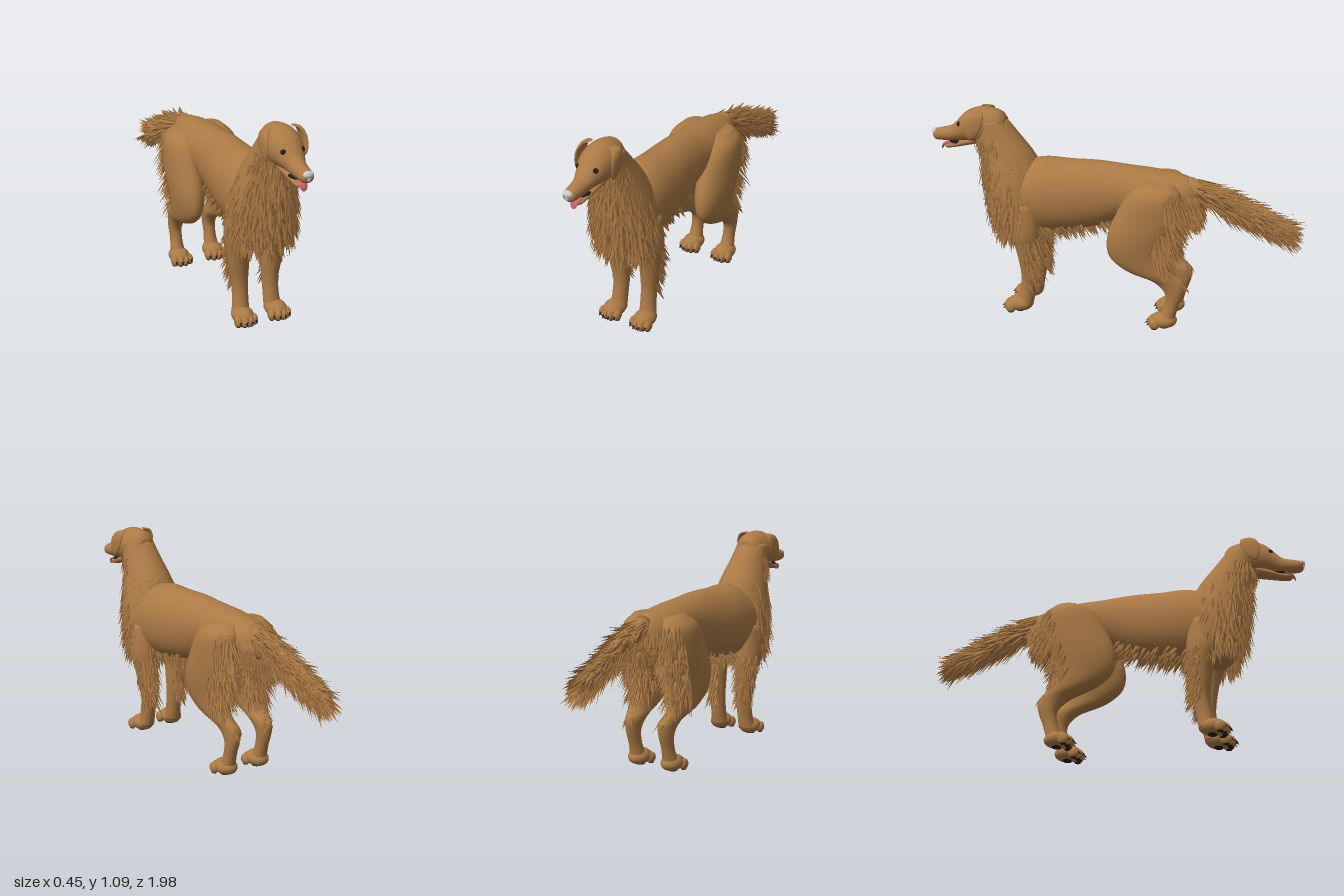
import * as THREE from 'three';
import { mergeGeometries } from 'three/addons/utils/BufferGeometryUtils.js';

const mat = (name, color, side = THREE.FrontSide) => {
  const m = new THREE.MeshStandardMaterial({ color, side });
  m.name = name;
  return m;
};

// Small seeded generator for the fur
let seed = 7;
const rand = (a = 0, b = 1) => {
  seed = (seed * 16807) % 2147483647;
  return a + (b - a) * seed / 2147483647;
};

// Smooth body through oval sections [x, y, z, halfWidth, halfDepth], sliced across 'y' or 'z'
function makeLoft(rows, axis) {
  const centre = new THREE.CatmullRomCurve3(rows.map(r => new THREE.Vector3(r[0], r[1], r[2])), false, 'catmullrom');
  const radius = new THREE.CatmullRomCurve3(rows.map(r => new THREE.Vector3(r[3], r[4], 0)), false, 'catmullrom');
  const k = axis === 'y' ? 1 : 2;
  const way = Math.sign(rows[rows.length - 1][k] - rows[0][k]);
  const v = axis === 'y' ? new THREE.Vector3(0, 0, -way) : new THREE.Vector3(0, way, 0);
  const at = (t, a) => {
    const c = centre.getPoint(t), r = radius.getPoint(t);
    const point = c.clone().addScaledVector(v, r.y * Math.sin(a));
    point.x += r.x * Math.cos(a);
    const normal = v.clone().multiplyScalar(Math.sin(a) / r.y);
    normal.x = Math.cos(a) / r.x;
    return { point, normal: normal.normalize(), centre: c };
  };
  const build = (sides = 28, steps = (rows.length - 1) * 5) => {
    const pos = [], idx = [];
    for (let i = 0; i <= steps; i++)
      for (let j = 0; j < sides; j++) pos.push(...at(i / steps, j / sides * Math.PI * 2).point);
    for (let i = 0; i < steps; i++)
      for (let j = 0; j < sides; j++) {
        const a = i * sides + j, b = i * sides + (j + 1) % sides;
        idx.push(a, b, b + sides, a, b + sides, a + sides);
      }
    const first = pos.length / 3, last = first + 1, end = steps * sides;
    pos.push(...centre.getPoint(0), ...centre.getPoint(1));
    for (let j = 0; j < sides; j++) {
      const n = (j + 1) % sides;
      idx.push(first, n, j, last, end + j, end + n);
    }
    const g = new THREE.BufferGeometry();
    g.setAttribute('position', new THREE.Float32BufferAttribute(pos, 3));
    g.setIndex(idx);
    g.computeVertexNormals();
    return g;
  };
  return { at, build };
}

// One flat, curved lock of hair, root at the origin and tip at y = 1
const lock = new THREE.ConeGeometry(1, 1, 4, 3, true).translate(0, 0.5, 0);
{
  const p = lock.attributes.position;
  for (let i = 0; i < p.count; i++) {
    const y = p.getY(i);
    p.setX(i, p.getX(i) * (1 + 0.6 * y));
    p.setZ(i, p.getZ(i) * 0.4);
  }
  lock.computeVertexNormals();
}

// Scatter locks over a loft; flow is the combing direction, lift pushes them off the skin
function makeFur(loft, { count, t, a, flow, lift, length, width = 0.011 }) {
  const parts = [];
  for (let i = 0; i < count; i++) {
    const s = loft.at(rand(...t), rand(...a));
    const dir = new THREE.Vector3(...flow).addScaledVector(s.normal, lift * rand(0.5, 1.3));
    dir.add(new THREE.Vector3(rand(-0.18, 0.18), rand(-0.18, 0.18), rand(-0.18, 0.18))).normalize();
    const x = new THREE.Vector3().crossVectors(dir, s.normal).normalize();
    const z = new THREE.Vector3().crossVectors(x, dir);
    const len = rand(...length), w = width * rand(0.7, 1.3);
    const m = new THREE.Matrix4().makeBasis(x.multiplyScalar(w), dir.multiplyScalar(len), z.multiplyScalar(w));
    m.setPosition(s.point.lerp(s.centre, 0.03));
    parts.push(lock.clone().applyMatrix4(m));
  }
  return mergeGeometries(parts);
}

export function createModel() {
  const coat = mat('golden coat', 0xab7a45);
  const hair = mat('golden hair', 0xa87742, THREE.DoubleSide);
  const dark = mat('dark brown', 0x241c16);
  const grey = mat('pale nose', 0xc9c9cf);
  const pink = mat('tongue pink', 0xc9626e);
  const dog = new THREE.Group();
  dog.name = 'dog';

  const add = (parent, name, geo, material) => {
    const m = new THREE.Mesh(geo, material);
    m.name = name;
    parent.add(m);
    return m;
  };
  const ball = (parent, name, material, p, s) => {
    const m = add(parent, name, new THREE.SphereGeometry(1, 20, 14), material);
    m.position.set(...p);
    m.scale.set(...s);
    return m;
  };
  const PI = Math.PI;

  // Trunk
  const trunk = makeLoft([
    [0, 0.70, -0.44, 0.04, 0.06], [0, 0.70, -0.36, 0.10, 0.105], [0, 0.69, -0.2, 0.13, 0.14],
    [0, 0.70, -0.05, 0.118, 0.14], [0, 0.675, 0.1, 0.125, 0.175], [0, 0.655, 0.25, 0.142, 0.19],
    [0, 0.645, 0.4, 0.15, 0.198], [0, 0.63, 0.55, 0.14, 0.16], [0, 0.62, 0.62, 0.09, 0.10]], 'z');
  add(dog, 'trunk', trunk.build(36), coat);
  add(dog, 'bellyFringe', makeFur(trunk, { count: 200, t: [0.42, 0.82], a: [-PI * 0.72, -PI * 0.28],
    flow: [0, -0.75, -0.6], lift: 0.2, length: [0.05, 0.09] }), hair);
  add(dog, 'rumpFringe', makeFur(trunk, { count: 170, t: [0.02, 0.14], a: [-PI * 1.1, PI * 0.1],
    flow: [0, -0.9, -0.35], lift: 0.25, length: [0.08, 0.14] }), hair);

  // Neck and chest with the long ruff
  const neck = makeLoft([
    [0, 0.41, 0.53, 0.07, 0.05], [0, 0.47, 0.53, 0.14, 0.11], [0, 0.55, 0.53, 0.165, 0.15],
    [0, 0.65, 0.54, 0.163, 0.165], [0, 0.75, 0.555, 0.145, 0.16], [0, 0.85, 0.585, 0.118, 0.142],
    [0, 0.95, 0.64, 0.093, 0.118], [0, 1.03, 0.68, 0.08, 0.09]], 'y');
  add(dog, 'neckAndChest', neck.build(36), coat);
  add(dog, 'chestRuff', makeFur(neck, { count: 900, t: [0.12, 0.72], a: [0, 2 * PI],
    flow: [0, -1, -0.05], lift: 0.2, length: [0.07, 0.12], width: 0.012 }), hair);
  add(dog, 'neckRuff', makeFur(neck, { count: 150, t: [0.7, 0.88], a: [-0.1, PI + 0.1].map(v => v + PI),
    flow: [0, -1, -0.1], lift: 0.25, length: [0.05, 0.09], width: 0.009 }), hair);

  // Head, muzzle and jaw
  add(dog, 'head', makeLoft([
    [0, 1.0, 0.59, 0.04, 0.045], [0, 1.005, 0.62, 0.066, 0.07], [0, 0.998, 0.68, 0.084, 0.091],
    [0, 0.993, 0.74, 0.087, 0.094], [0, 0.983, 0.8, 0.075, 0.08], [0, 0.96, 0.845, 0.056, 0.06],
    [0, 0.937, 0.885, 0.043, 0.043], [0, 0.927, 0.94, 0.037, 0.035],
    [0, 0.923, 0.975, 0.033, 0.029], [0, 0.925, 0.99, 0.02, 0.017]], 'z').build(32), coat);
  add(dog, 'lowerJaw', makeLoft([
    [0, 0.915, 0.75, 0.05, 0.025], [0, 0.897, 0.81, 0.043, 0.022], [0, 0.876, 0.87, 0.033, 0.016],
    [0, 0.866, 0.915, 0.026, 0.013], [0, 0.868, 0.932, 0.012, 0.007]], 'z').build(20), coat);
  ball(dog, 'mouth', dark, [0, 0.891, 0.86], [0.034, 0.011, 0.045]);
  add(dog, 'tongue', makeLoft([
    [0, 0.886, 0.84, 0.017, 0.006], [0, 0.884, 0.9, 0.021, 0.006], [0, 0.872, 0.934, 0.022, 0.009],
    [0, 0.856, 0.945, 0.015, 0.01], [0, 0.85, 0.948, 0.005, 0.005]], 'z').build(16), pink);
  ball(dog, 'nose', grey, [0, 0.937, 0.982], [0.027, 0.018, 0.018]);
  ball(dog, 'noseBridge', grey, [0, 0.92, 0.987], [0.01, 0.016, 0.01]);

  // Tail with its plume
  const tail = makeLoft([
    [0, 0.755, -0.38, 0.055, 0.05], [0, 0.70, -0.54, 0.045, 0.05], [0, 0.635, -0.69, 0.04, 0.045],
    [0, 0.595, -0.8, 0.032, 0.035], [0, 0.58, -0.87, 0.01, 0.012]], 'z');
  add(dog, 'tail', tail.build(20), coat);
  add(dog, 'tailHair', makeFur(tail, { count: 420, t: [0.05, 0.98], a: [0, 2 * PI],
    flow: [0, -0.3, -1], lift: 0.28, length: [0.08, 0.13] }), hair);
  // the loft runs backward, so its underside lies at positive angles
  add(dog, 'tailPlume', makeFur(tail, { count: 260, t: [0.15, 0.9], a: [PI * 0.15, PI * 0.85],
    flow: [0, -0.45, -0.8], lift: 0.3, length: [0.12, 0.17] }), hair);

  // Paired parts, made for the left and mirrored
  const paw = (parent, name, x, z) => {
    const g = new THREE.Group();
    g.name = name;
    g.position.set(x, 0, z);
    parent.add(g);
    ball(g, 'foot', coat, [0, 0.043, -0.005], [0.055, 0.042, 0.07]);
    [-0.043, -0.015, 0.015, 0.043].forEach((tx, i) => {
      const tz = i === 1 || i === 2 ? 0.05 : 0.036;
      ball(g, 'toe', coat, [tx, 0.03, tz], [0.019, 0.029, 0.03]);
      const claw = add(g, 'claw', new THREE.ConeGeometry(0.007, 0.026, 8), dark);
      claw.position.set(tx, 0.026, tz + 0.033);
      claw.rotation.x = PI * 0.72;
      ball(g, 'toePad', dark, [tx, 0.005, tz], [0.012, 0.005, 0.016]);
    });
    ball(g, 'heelPad', dark, [0, 0.005, -0.008], [0.03, 0.006, 0.024]);
  };

  const foreleg = makeLoft([
    [0.1, 0.62, 0.5, 0.06, 0.10], [0.1, 0.48, 0.48, 0.072, 0.09], [0.097, 0.38, 0.46, 0.062, 0.068],
    [0.09, 0.28, 0.455, 0.052, 0.053], [0.084, 0.19, 0.456, 0.042, 0.044],
    [0.085, 0.1, 0.47, 0.041, 0.042], [0.09, 0.035, 0.485, 0.048, 0.045]], 'y');
  const hindleg = makeLoft([
    [0.085, 0.79, -0.24, 0.05, 0.07], [0.105, 0.73, -0.22, 0.083, 0.135], [0.11, 0.6, -0.185, 0.087, 0.17],
    [0.113, 0.48, -0.14, 0.08, 0.165], [0.113, 0.38, -0.14, 0.064, 0.152], [0.11, 0.31, -0.2, 0.052, 0.128],
    [0.1, 0.26, -0.295, 0.042, 0.085], [0.1, 0.2, -0.327, 0.035, 0.05], [0.1, 0.13, -0.315, 0.032, 0.038],
    [0.1, 0.07, -0.297, 0.038, 0.04], [0.1, 0.03, -0.29, 0.042, 0.042]], 'y');
  const ear = makeLoft([
    [0.064, 1.078, 0.715, 0.012, 0.02], [0.086, 1.07, 0.718, 0.014, 0.034], [0.1, 1.04, 0.728, 0.011, 0.046],
    [0.104, 1.0, 0.738, 0.009, 0.045], [0.102, 0.965, 0.748, 0.008, 0.033],
    [0.098, 0.942, 0.755, 0.005, 0.012]], 'y');

  for (const side of [1, -1]) {
    const half = new THREE.Group();
    half.name = side > 0 ? 'leftSide' : 'rightSide';
    half.scale.x = side;
    dog.add(half);
    add(half, 'ear', ear.build(20), coat);
    ball(half, 'eye', dark, [0.046, 1.0, 0.829], [0.016, 0.014, 0.014]);
    add(half, 'foreleg', foreleg.build(24), coat);
    add(half, 'forelegFeather', makeFur(foreleg, { count: 130, t: [0.2, 0.66], a: [-PI * 0.75, PI * 0.02],
      flow: [0, -1, -0.3], lift: 0.25, length: [0.05, 0.09], width: 0.009 }), hair);
    paw(half, 'forepaw', 0.092, 0.515);
    add(half, 'hindleg', hindleg.build(28), coat);
    add(half, 'thighFeather', makeFur(hindleg, { count: 260, t: [0.07, 0.4], a: [-PI * 0.85, -PI * 0.17],
      flow: [0, -0.9, -0.25], lift: 0.3, length: [0.08, 0.13] }), hair);
    add(half, 'hockFeather', makeFur(hindleg, { count: 40, t: [0.4, 0.6], a: [-PI * 0.7, -PI * 0.3],
      flow: [0, -0.8, -0.3], lift: 0.2, length: [0.04, 0.07], width: 0.009 }), hair);
    paw(half, 'hindpaw', 0.1, -0.27);
  }
  return dog;
}
